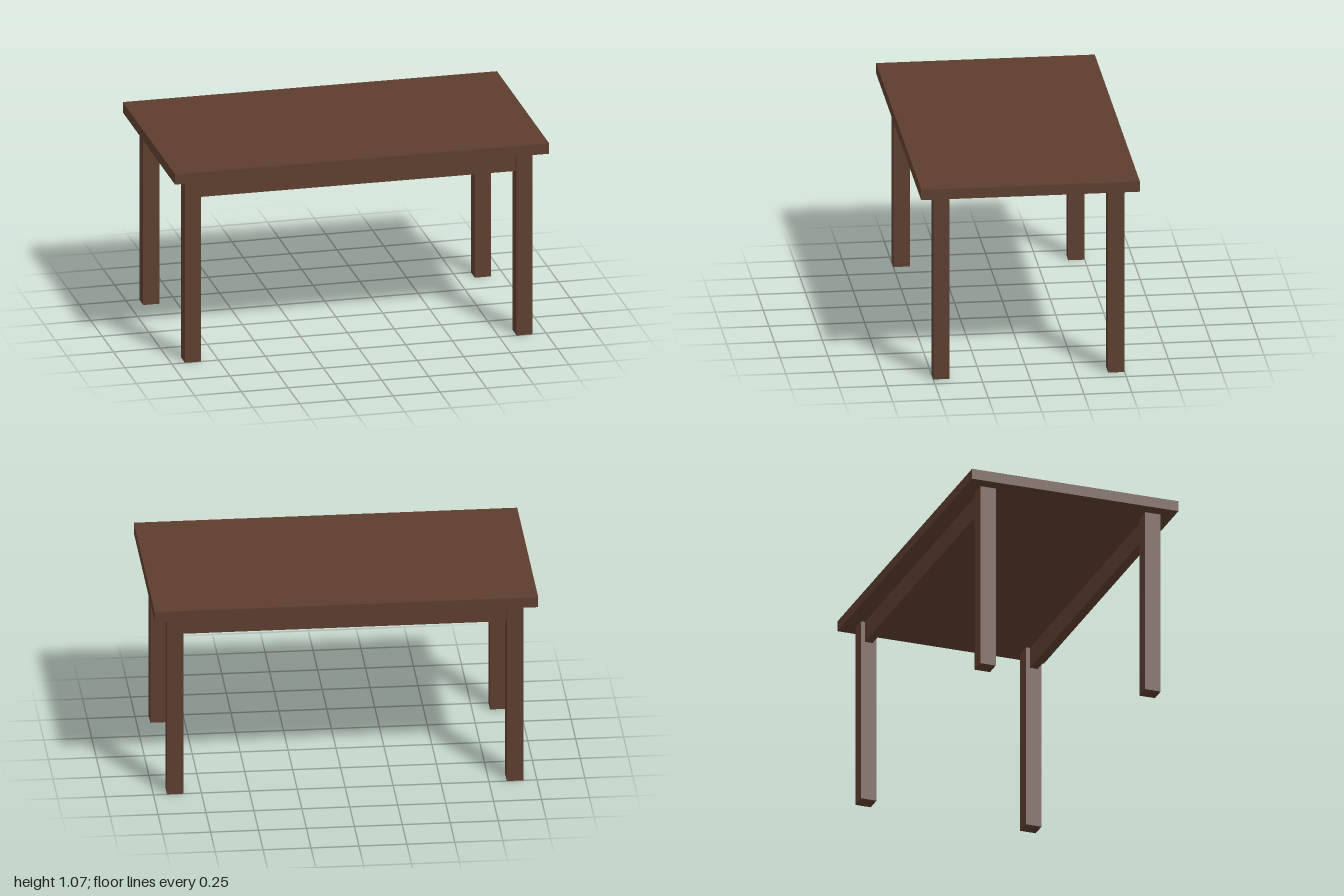
import * as THREE from 'three';

export function createModel() {
  const table = new THREE.Group();
  table.name = 'table';
  const wood = new THREE.MeshStandardMaterial({ color: 0x5c3d2e });

  const topY = 1.071, topThickness = 0.057, legSize = 0.086;
  const legX = 0.886, legZ = 0.457;
  const legHeight = topY - topThickness;

  function addBox(name, w, h, d, x, y, z) {
    const mesh = new THREE.Mesh(new THREE.BoxGeometry(w, h, d), wood);
    mesh.name = name;
    mesh.position.set(x, y, z);
    table.add(mesh);
  }

  // Table top
  addBox('tableTop', 2, topThickness, 1.143, 0, topY - topThickness / 2, 0);

  // Legs, and one apron between the legs on each long side
  const apronHeight = 0.114;
  for (const [side, sz] of [['front', 1], ['back', -1]]) {
    for (const [hand, sx] of [['Left', 1], ['Right', -1]]) {
      addBox(side + hand + 'Leg', legSize, legHeight, legSize, sx * legX, legHeight / 2, sz * legZ);
    }
    addBox(side + 'Apron', 2 * legX - legSize, apronHeight, 0.043, 0, legHeight - apronHeight / 2, sz * legZ);
  }
  return table;
}
